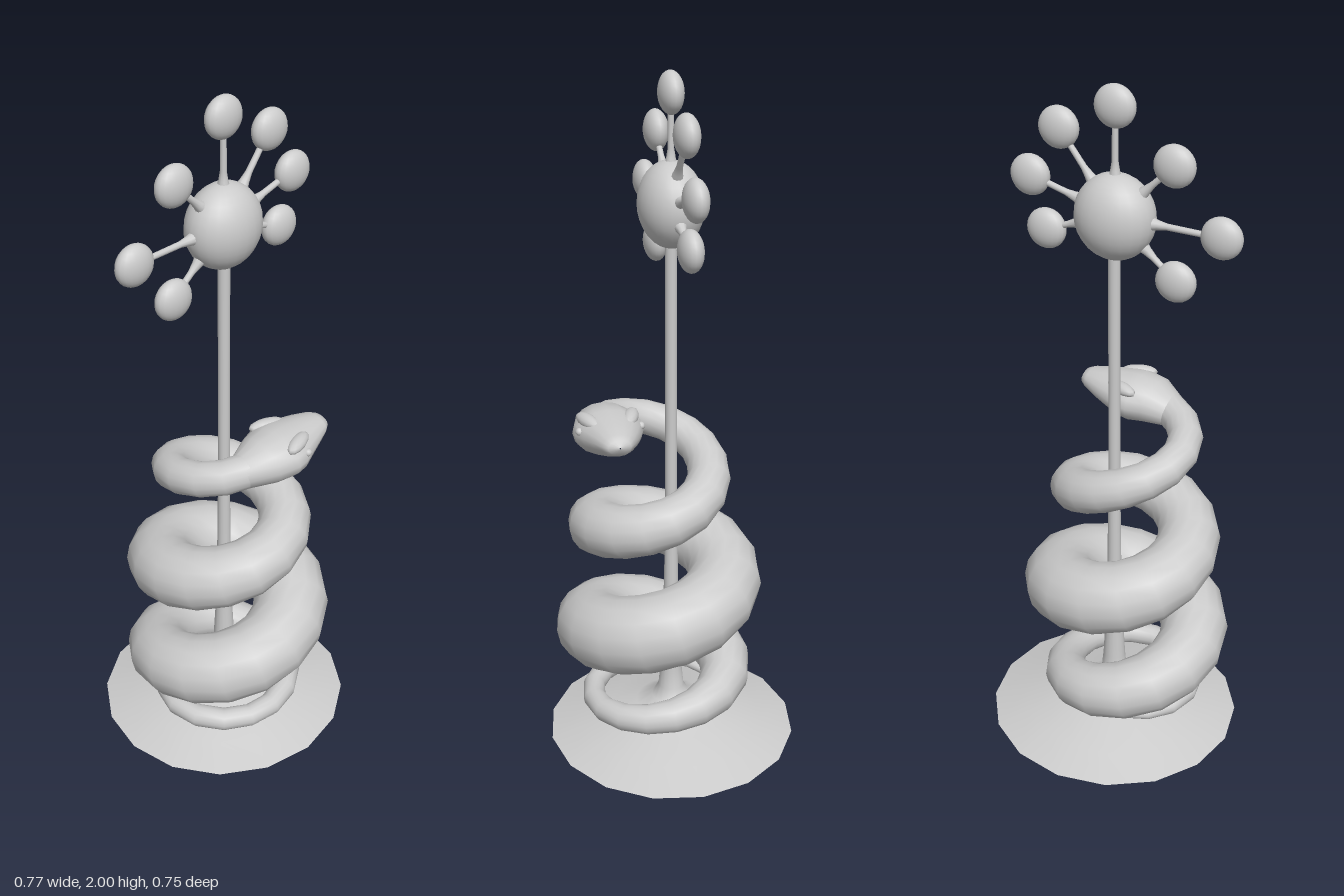
import * as THREE from 'three';

const material = new THREE.MeshStandardMaterial({ color: 0xcccccc });

function add(parent, name, geometry, position = [0, 0, 0], scale = [1, 1, 1]) {
  const mesh = new THREE.Mesh(geometry, material);
  mesh.name = name;
  mesh.position.set(...position);
  mesh.scale.set(...scale);
  parent.add(mesh);
  return mesh;
}

// Skin through elliptical rings; each station is { p, w, h }
function loft(stations, sides = 16) {
  const pos = [], index = [], n = stations.length;
  const up = new THREE.Vector3(0, 1, 0);
  stations.forEach(({ p, w, h }, i) => {
    const t = stations[Math.min(i + 1, n - 1)].p.clone().sub(stations[Math.max(i - 1, 0)].p).normalize();
    const side = t.clone().cross(up).normalize();
    const top = side.clone().cross(t);
    for (let j = 0; j < sides; j++) {
      const a = (j / sides) * Math.PI * 2;
      const v = p.clone().addScaledVector(side, w * Math.cos(a)).addScaledVector(top, h * Math.sin(a));
      pos.push(v.x, v.y, v.z);
      if (i === n - 1) continue;
      const k = (j + 1) % sides, r = i * sides, s = r + sides;
      index.push(r + j, s + j, r + k, r + k, s + j, s + k);
    }
  });
  const g = new THREE.BufferGeometry();
  g.setAttribute('position', new THREE.Float32BufferAttribute(pos, 3));
  g.setIndex(index);
  g.computeVertexNormals();
  return g;
}

// Coiled body: one station per quarter turn as [coil radius, height, thickness]
function coilGeometry() {
  const quarters = [
    [0.18, 0.09, 0.004], [0.205, 0.1, 0.032], [0.2, 0.105, 0.034], [0.19, 0.135, 0.05],
    [0.21, 0.19, 0.08], [0.21, 0.28, 0.1], [0.2, 0.365, 0.11], [0.2, 0.45, 0.115],
    [0.2, 0.53, 0.107], [0.185, 0.615, 0.096], [0.18, 0.7, 0.082], [0.165, 0.775, 0.071],
    [0.15, 0.87, 0.06], [0.165, 0.96, 0.051], [0.155, 1.02, 0.05],
  ];
  const curve = new THREE.CatmullRomCurve3(quarters.map((q) => new THREE.Vector3(...q)), false, 'catmullrom');
  const last = quarters.length - 1, steps = last * 4, stations = [];
  for (let i = 0; i <= steps; i++) {
    const q = curve.getPoint(i / steps);
    const a = (i / 4 - last) * Math.PI / 2;
    const p = new THREE.Vector3(-0.03 + q.x * Math.sin(a), q.y, 0.035 + q.x * Math.cos(a));
    stations.push({ p, w: q.z, h: q.z });
  }
  return loft(stations);
}

// Wedge-shaped head pointing to +x: [x, y, z, half width, half height]
function headGeometry() {
  const rows = [
    [-0.11, 1.0, 0.175, 0.048, 0.046], [-0.04, 1.018, 0.187, 0.085, 0.064],
    [0.01, 1.022, 0.188, 0.099, 0.068], [0.04, 1.026, 0.187, 0.098, 0.065],
    [0.08, 1.032, 0.187, 0.083, 0.056], [0.125, 1.038, 0.188, 0.065, 0.045],
    [0.17, 1.044, 0.19, 0.045, 0.031], [0.188, 1.046, 0.19, 0.032, 0.02],
    [0.196, 1.047, 0.19, 0.002, 0.002],
  ];
  return loft(rows.map(([x, y, z, w, h]) => ({ p: new THREE.Vector3(x, y, z), w, h })));
}

export function createModel() {
  const model = new THREE.Group();
  model.name = 'serpentStaff';

  // Spreading foot that sweeps up into the pole
  const profile = [[0.385, 0], [0.28, 0.032], [0.19, 0.062], [0.11, 0.082], [0.06, 0.105], [0.04, 0.14],
    [0.034, 0.2], [0.026, 0.35], [0.021, 0.55], [0.018, 0.8], [0.017, 1.2], [0.017, 1.6]];
  add(model, 'footAndPole', new THREE.LatheGeometry(profile.map((p) => new THREE.Vector2(...p)), 16),
    [-0.003, 0, 0], [1, 1, 0.975]);
  const under = add(model, 'footUnderside', new THREE.CircleGeometry(0.385, 16), [-0.003, 0, 0], [1, 0.975, 1]);
  under.rotation.x = Math.PI / 2;

  // Flattened hub with balls on spokes
  const crown = new THREE.Group();
  crown.name = 'crown';
  crown.position.set(-0.005, 1.65, 0);
  model.add(crown);
  add(crown, 'hub', new THREE.SphereGeometry(1, 24, 16), [0, 0, 0], [0.114, 0.118, 0.09]);
  const balls = [[0, 0.293], [0.163, 0.215], [0.252, 0.073], [0.206, -0.07],
    [-0.178, -0.15], [-0.303, -0.005], [-0.168, 0.163]];
  for (const [x, y] of balls) {
    add(crown, 'ball', new THREE.SphereGeometry(1, 20, 14), [x, y, 0], [0.058, 0.057, 0.034]);
    const length = Math.hypot(x, y);
    const shape = [[0.022, 0.09], [0.013, 0.125], [0.009, 0.15], [0.008, length]];
    const spoke = add(crown, 'spoke', new THREE.LatheGeometry(shape.map((p) => new THREE.Vector2(...p)), 10));
    spoke.rotation.z = Math.atan2(-x, y);
  }

  // Serpent wound around the pole
  const serpent = new THREE.Group();
  serpent.name = 'serpent';
  model.add(serpent);
  add(serpent, 'body', coilGeometry());
  add(serpent, 'head', headGeometry());
  const bead = new THREE.SphereGeometry(1, 12, 8);
  for (const s of [-1, 1]) {
    add(serpent, 'eye', bead, [0.052, 1.043, 0.187 + s * 0.087], [0.012, 0.011, 0.011]);
    const brow = add(serpent, 'brow', bead, [0.04, 1.067, 0.187 + s * 0.06], [0.055, 0.019, 0.022]);
    brow.rotation.y = s * 0.35;
  }
  return model;
}
